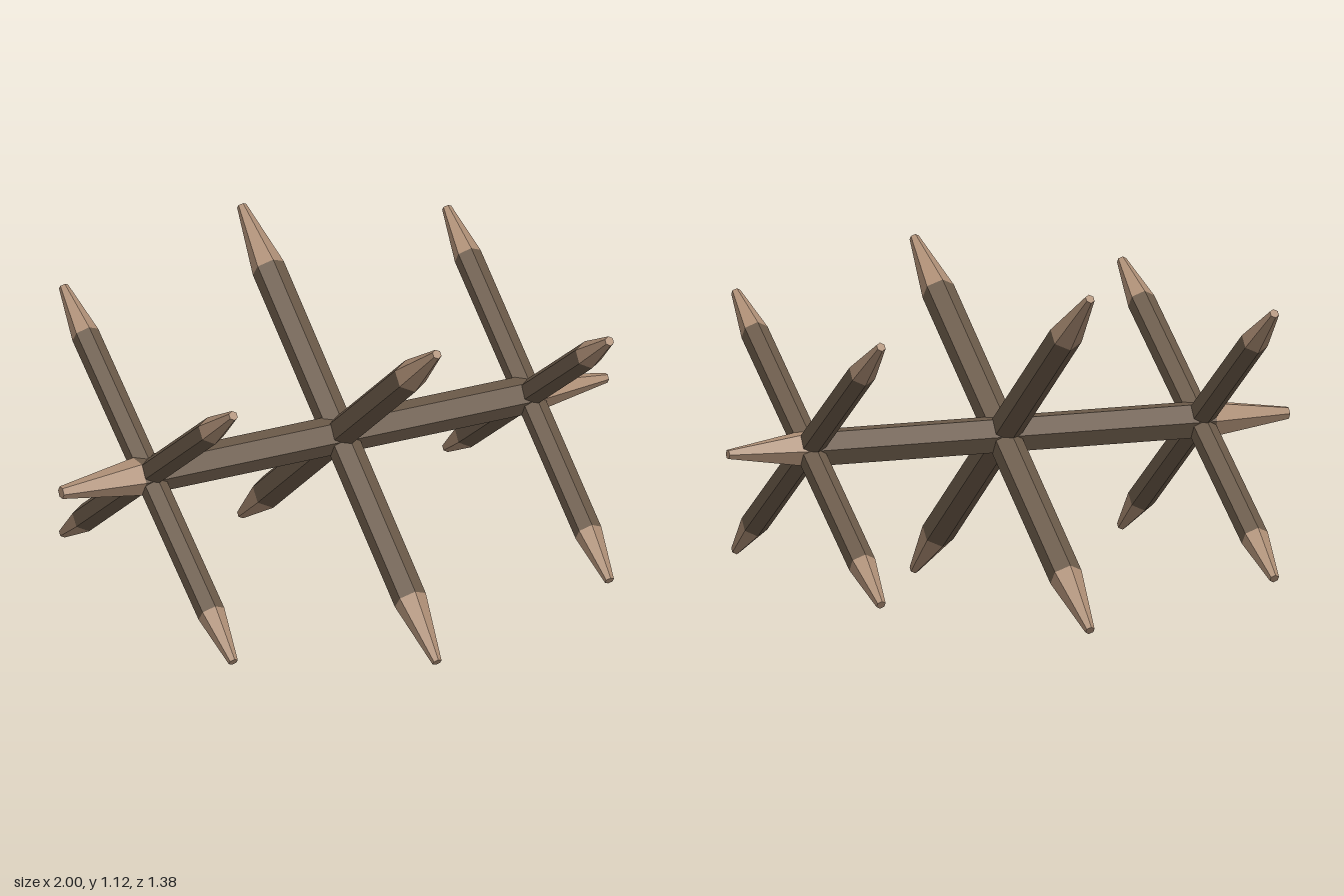
import * as THREE from 'three';

const bark = new THREE.MeshStandardMaterial({ color: 0x6b5a49, flatShading: true });
bark.name = 'weathered wood';
const cut = new THREE.MeshStandardMaterial({ color: 0xae8f76, flatShading: true });
cut.name = 'freshly cut wood';

// Six-sided pole along y, sharpened to a blunt point at both ends
function sharpenedPole(name, radius, shaftHalf, halfLength, topR, bottomR = topR) {
  const pole = new THREE.Group();
  pole.name = name;
  const shaft = new THREE.Mesh(
    new THREE.CylinderGeometry(radius, radius, shaftHalf * 2, 6, 1, true), bark);
  shaft.name = name + 'Shaft';
  pole.add(shaft);

  const tipLength = halfLength - shaftHalf;
  for (const side of [1, -1]) {
    const end = side > 0 ? topR : bottomR;
    const geometry = new THREE.CylinderGeometry(
      side > 0 ? end : radius, side > 0 ? radius : end, tipLength, 6);
    const tip = new THREE.Mesh(geometry, cut);
    tip.name = name + 'Tip';
    tip.position.y = side * (shaftHalf + tipLength / 2);
    pole.add(tip);
  }
  return pole;
}

export function createModel() {
  const model = new THREE.Group();
  model.name = 'spikedBarrier';
  const axisHeight = 0.558;

  // Horizontal beam, its +y end turned towards +x
  const beam = sharpenedPole('beam', 0.063, 0.72, 1, 0.016, 0.021);
  beam.rotation.z = -Math.PI / 2;
  beam.position.y = axisHeight;
  model.add(beam);

  // Crossed pairs of stakes through the beam
  const pairs = [
    { name: 'rightStake', x: -0.68, r: 0.046, shaft: 0.546, half: 0.735, angle: 36.4, yaw: 0 },
    { name: 'middleStake', x: 0.02, r: 0.055, shaft: 0.634, half: 0.872, angle: 38.7, yaw: 0 },
    { name: 'leftStake', x: 0.712, r: 0.046, shaft: 0.546, half: 0.736, angle: 35.2, yaw: -0.03 },
  ];
  for (const p of pairs) {
    const cross = new THREE.Group();
    cross.name = p.name + 'Pair';
    for (const side of [1, -1]) {
      const stake = sharpenedPole(p.name, p.r, p.shaft, p.half, 0.016);
      stake.rotation.x = side * THREE.MathUtils.degToRad(90 - p.angle);
      cross.add(stake);
    }
    cross.position.set(p.x, axisHeight, 0);
    cross.rotation.y = p.yaw;
    model.add(cross);
  }
  return model;
}
